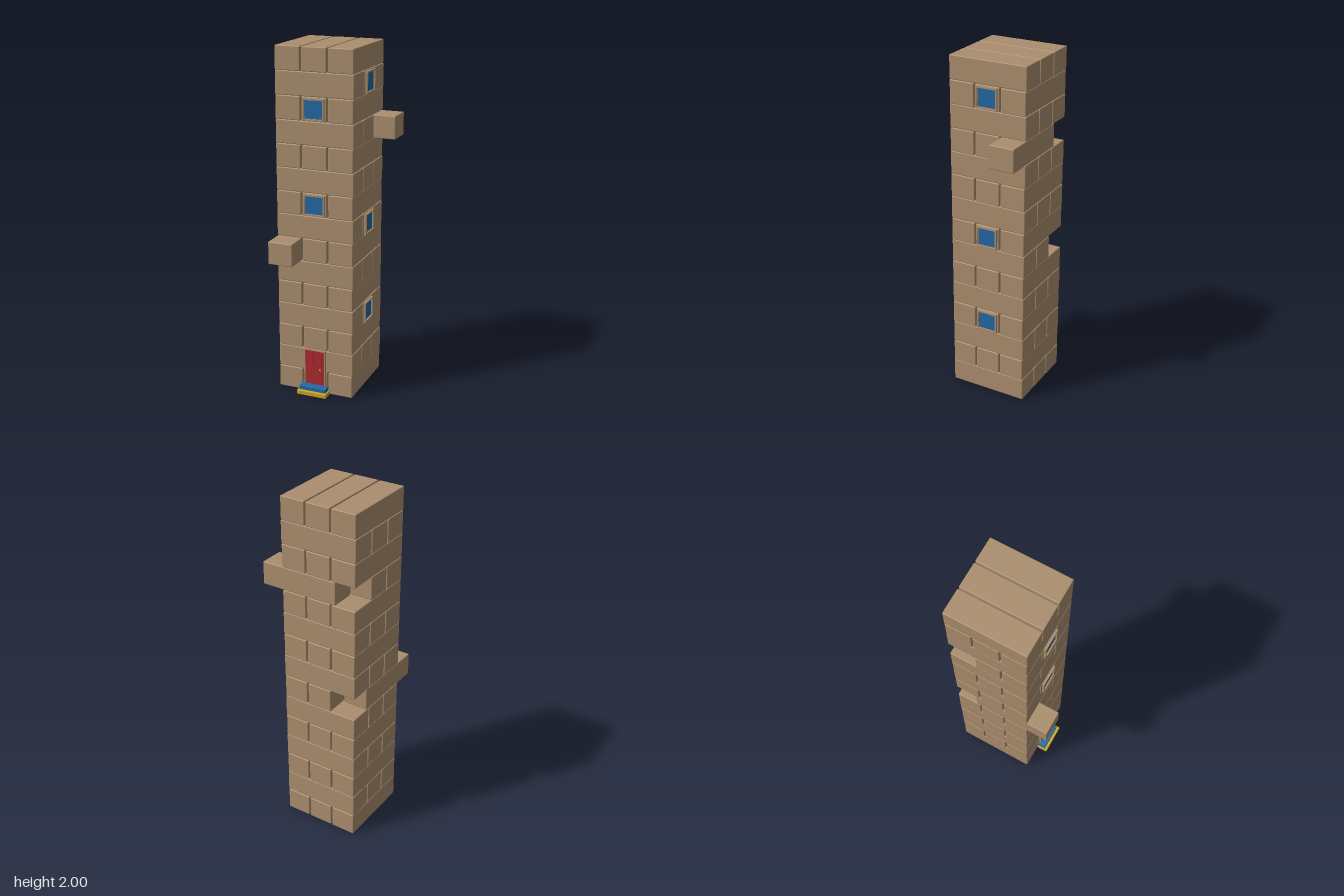
import * as THREE from 'three';
import { RoundedBoxGeometry } from 'three/addons/geometries/RoundedBoxGeometry.js';

const material = (name, color) => {
  const m = new THREE.MeshStandardMaterial({ color });
  m.name = name;
  return m;
};

export function createModel() {
  const wood = material('wood', 0xab8e6e);
  const blue = material('blue', 0x2169a5);
  const red = material('red', 0xad2a30);
  const yellow = material('yellow', 0xcba626);

  const tower = new THREE.Group();
  tower.name = 'blockTower';

  const LAYERS = 15, H = 2 / LAYERS, C = -0.0635; // layer height, tower centre in x and z
  const WIDTH = 0.146, LENGTH = 0.459, PITCH = 0.1545, SLIDE = 0.124;

  const add = (parent, name, geometry, mat, x, y, z) => {
    const mesh = new THREE.Mesh(geometry, mat);
    mesh.name = name;
    mesh.position.set(x, y, z);
    parent.add(mesh);
    return mesh;
  };
  const box = (parent, name, mat, w, h, d, x, y, z) =>
    add(parent, name, new THREE.BoxGeometry(w, h, d), mat, x, y, z);

  // Stacked blocks: even layers run along z, odd layers along x
  const blockGeometry = new RoundedBoxGeometry(WIDTH, H - 0.001, LENGTH, 2, 0.005);
  const slid = { '6,0': SLIDE, '11,0': SLIDE };
  for (let layer = 0; layer < LAYERS; layer++) {
    const y = (layer + 0.5) * H;
    for (let i = 0; i < 3; i++) {
      const across = C + (i - 1) * PITCH;
      const along = C + (slid[`${layer},${i}`] || 0);
      if (layer % 2 === 0) {
        add(tower, 'block', blockGeometry, wood, across, y, along);
      } else {
        add(tower, 'block', blockGeometry, wood, along + 0.001, y, across).rotation.y = Math.PI / 2;
      }
    }
  }

  // Rectangular frame with a bevelled edge, back face at z = 0
  const frameGeometry = (w, h, border, depth, bottom = border) => {
    const rect = (T, x0, y0, x1, y1) => {
      const p = new T();
      p.moveTo(x0, y0);
      p.lineTo(x1, y0);
      p.lineTo(x1, y1);
      p.lineTo(x0, y1);
      p.closePath();
      return p;
    };
    const shape = rect(THREE.Shape, -w / 2, -h / 2, w / 2, h / 2);
    shape.holes.push(rect(THREE.Path, -w / 2 + border, -h / 2 + bottom, w / 2 - border, h / 2 - border));
    return new THREE.ExtrudeGeometry(shape, { depth, bevelEnabled: false });
  };

  // Windows: outer frame, slimmer inner frame and a recessed pane
  const addWindow = (layer, side) => {
    const win = new THREE.Group();
    win.name = side === 'front' ? 'frontWindow' : 'sideWindow';
    add(win, 'windowFrame', frameGeometry(0.126, 0.122, 0.009, 0.014), wood, 0, 0, 0);
    add(win, 'innerFrame', frameGeometry(0.11, 0.106, 0.003, 0.008), wood, 0, 0, 0);
    box(win, 'windowPane', blue, 0.106, 0.102, 0.006, 0, 0, 0.002);
    const y = (layer + 0.5) * H;
    if (side === 'front') {
      win.position.set(C, y, 0.165);
    } else {
      win.position.set(0.166, y, C);
      win.rotation.y = Math.PI / 2;
    }
    tower.add(win);
  };
  [8, 12].forEach((layer) => addWindow(layer, 'front'));
  [3, 7, 13].forEach((layer) => addWindow(layer, 'side'));

  // Door with frame, raised panels and knob
  const door = new THREE.Group();
  door.name = 'door';
  door.position.set(C, 0, 0.164);
  tower.add(door);
  add(door, 'doorFrame', frameGeometry(0.132, 0.222, 0.007, 0.014, 0.001), wood, 0, 0.158, 0);
  box(door, 'doorLeaf', red, 0.118, 0.214, 0.008, 0, 0.157, 0.004);
  for (const side of [-1, 1]) {
    box(door, 'upperPanel', red, 0.036, 0.075, 0.003, side * 0.025, 0.207, 0.0085);
    box(door, 'lowerPanel', red, 0.036, 0.06, 0.003, side * 0.025, 0.1, 0.0085);
  }
  add(door, 'doorKnob', new THREE.SphereGeometry(0.006, 16, 12), yellow, 0.034, 0.148, 0.014);
  const stem = add(door, 'knobStem', new THREE.CylinderGeometry(0.003, 0.003, 0.01, 12), yellow, 0.034, 0.148, 0.009);
  stem.rotation.x = Math.PI / 2;

  // Door steps
  add(tower, 'lowerStep', new RoundedBoxGeometry(0.181, 0.025, 0.07, 2, 0.002), yellow, C, 0.0125, 0.197);
  add(tower, 'upperStep', new RoundedBoxGeometry(0.165, 0.025, 0.053, 2, 0.002), blue, C, 0.0375, 0.189);

  return tower;
}
